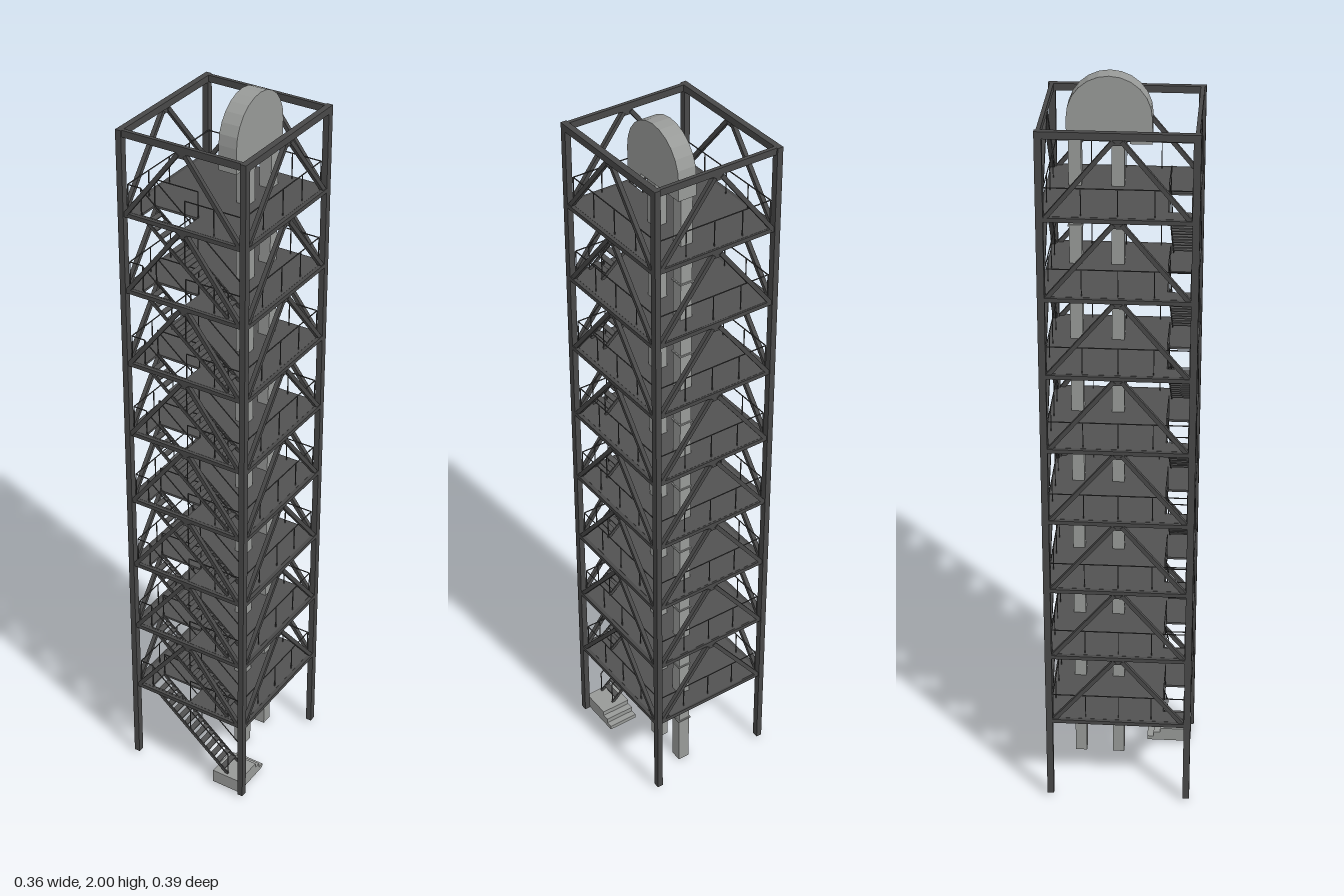
import * as THREE from 'three';

export function createModel() {
  const tower = new THREE.Group();
  tower.name = 'elevatorTower';
  const paint = (name, color) => {
    const m = new THREE.MeshStandardMaterial({ color });
    m.name = name;
    return m;
  };
  const steel = paint('dark steel', 0x484848);
  const deckGrey = paint('deck grey', 0x525252);
  const casing = paint('casing grey', 0x989a98);

  const add = (parent, name, geometry, material) => {
    const mesh = new THREE.Mesh(geometry, material);
    mesh.name = name;
    parent.add(mesh);
    return mesh;
  };
  // Box given by its two opposite corners
  const box = (parent, name, x0, x1, y0, y1, z0, z1, material) => {
    const mesh = add(parent, name, new THREE.BoxGeometry(x1 - x0, y1 - y0, z1 - z0), material);
    mesh.position.set((x0 + x1) / 2, (y0 + y1) / 2, (z0 + z1) / 2);
    return mesh;
  };
  // Square bar between two points
  const bar = (parent, name, a, b, size, material, depth = size) => {
    const p = new THREE.Vector3(...a), q = new THREE.Vector3(...b);
    const mesh = add(parent, name, new THREE.BoxGeometry(size, depth, p.distanceTo(q)), material);
    mesh.position.copy(p).add(q).multiplyScalar(0.5);
    mesh.lookAt(q);
    return mesh;
  };

  const X = 0.172, ZF = 0.176, ZB = -0.197, ZM = (ZF + ZB) / 2;
  const TOP = 1.92, RISE = 0.2085;
  const levels = Array.from({ length: 8 }, (_, i) => 0.252 + i * RISE);

  // Corner columns
  for (const x of [-X, X]) for (const z of [ZF, ZB])
    box(tower, 'column', x - 0.008, x + 0.008, 0.008, TOP + 0.012, z - 0.009, z + 0.009, steel);

  // Rectangular ring of beams
  const ring = (parent, y, h) => {
    for (const x of [-X, X]) box(parent, 'sideBeam', x - 0.008, x + 0.008, y - h / 2, y + h / 2, ZB, ZF, steel);
    for (const z of [ZF, ZB]) box(parent, 'crossBeam', -X, X, y - h / 2, y + h / 2, z - 0.005, z + 0.005, steel);
  };
  ring(tower, TOP + 0.003, 0.018);

  // A-shaped bracing of one bay, on all four sides
  const braces = (parent, y0, y1) => {
    for (const s of [-1, 1]) {
      for (const z of [ZF, ZB])
        bar(parent, 'brace', [s * 0.163, y0, z], [s * 0.01, y1 - 0.01, z], 0.011, steel);
      for (const x of [-X, X])
        bar(parent, 'sideBrace', [x, y0, ZM + s * 0.176], [x, y1 - 0.01, ZM + s * 0.01], 0.011, steel);
    }
    for (const z of [ZF, ZB]) box(parent, 'gusset', -0.016, 0.016, y1 - 0.02, y1, z - 0.003, z + 0.003, steel);
    for (const x of [-X, X]) box(parent, 'sideGusset', x - 0.003, x + 0.003, y1 - 0.02, y1, ZM - 0.016, ZM + 0.016, steel);
  };

  // Deck plate with the stair opening
  const plate = new THREE.Shape([[-0.17, -0.172], [0.17, -0.172], [0.17, 0.197], [-0.17, 0.197]]
    .map(p => new THREE.Vector2(...p)));
  plate.holes.push(new THREE.Path([[-0.124, -0.168], [-0.124, -0.11], [0, -0.11], [0, -0.168]]
    .map(p => new THREE.Vector2(...p))));
  const deckGeometry = new THREE.ExtrudeGeometry(plate, { depth: 0.006, bevelEnabled: false });
  deckGeometry.rotateX(-Math.PI / 2);

  // Guard rail along a floor path, with posts
  const RAIL = 0.075, THIN = 0.0022;
  const guard = (parent, y, path) => {
    for (let i = 0; i + 1 < path.length; i++) {
      const [ax, az] = path[i], [bx, bz] = path[i + 1];
      bar(parent, 'guardRail', [ax, y + RAIL, az], [bx, y + RAIL, bz], THIN, steel);
      const n = Math.max(1, Math.round(Math.hypot(bx - ax, bz - az) / 0.09));
      for (let k = 0; k <= n; k++) {
        const x = ax + (bx - ax) * k / n, z = az + (bz - az) * k / n;
        bar(parent, 'guardPost', [x, y, z], [x, y + RAIL, z], THIN, steel);
      }
    }
  };

  // Straight stair rising towards -x
  const stair = (parent, y0, y1) => {
    const x0 = 0.122, x1 = -0.122, steps = 14;
    for (const z of [0.111, 0.168]) {
      bar(parent, 'stringer', [x0, y0, z], [x1, y1, z], 0.003, steel, 0.009);
      bar(parent, 'handrail', [x0, y0 + 0.07, z], [x1, y1 + 0.07, z], THIN, steel);
      for (const t of [0, 0.5, 1]) {
        const x = x0 + (x1 - x0) * t, y = y0 + (y1 - y0) * t;
        bar(parent, 'handrailPost', [x, y, z], [x, y + 0.07, z], THIN, steel);
      }
    }
    for (let i = 1; i < steps; i++) {
      const x = x0 + (x1 - x0) * i / steps, y = y0 + (y1 - y0) * i / steps;
      box(parent, 'tread', x - 0.008, x + 0.008, y - 0.0015, y + 0.0015, 0.111, 0.168, deckGrey);
    }
  };

  // Floors with beams, bracing, railing and the stair leading up to each
  levels.forEach((y, i) => {
    const floor = new THREE.Group();
    floor.name = 'floor';
    tower.add(floor);
    add(floor, 'deck', deckGeometry, deckGrey).position.y = y;
    ring(floor, y, 0.011);
    braces(floor, y, i < 7 ? levels[i + 1] : TOP);
    guard(floor, y, [[0, 0.166], [0.162, 0.166], [0.162, -0.188], [-0.162, -0.188], [-0.162, 0.166], [-0.124, 0.166]]);
    guard(floor, y, [[-0.124, 0.109], [0, 0.109]]);
    stair(floor, i ? levels[i - 1] + 0.006 : 0.05, y + 0.004);
  });

  // Stepped footing under the first stair
  [[0.092, 0.05], [0.073, 0.036], [0.055, 0.022]].forEach(([z, h]) =>
    box(tower, 'footing', 0.08, 0.165, 0.01, h, z, 0.178, casing));

  // Twin elevator legs with flanges at the casing joints
  for (const z of [-0.024, -0.13]) {
    box(tower, 'elevatorLeg', 0.033, 0.066, 0, 1.86, z - 0.016, z + 0.016, casing);
    for (let y = 0.15; y < 1.8; y += RISE)
      box(tower, 'legFlange', 0.030, 0.069, y, y + 0.004, z - 0.019, z + 0.019, casing);
  }
  box(tower, 'inspectionBox', 0.028, 0.07, 1.645, 1.68, -0.044, 0.004, casing);

  // Round-topped head with a discharge spout at the front
  const head = new THREE.Shape();
  head.moveTo(-0.15, 1.845);
  head.lineTo(0.006, 1.845);
  head.lineTo(0.006, 1.83);
  head.lineTo(0.06, 1.83);
  for (let i = 0; i <= 12; i++) {
    const a = Math.PI * i / 12;
    head.lineTo(-0.045 + 0.105 * Math.cos(a), 1.895 + 0.105 * Math.sin(a));
  }
  const headGeometry = new THREE.ExtrudeGeometry(head, { depth: 0.05, bevelEnabled: false });
  headGeometry.rotateY(-Math.PI / 2);
  add(tower, 'elevatorHead', headGeometry, casing).position.x = 0.076;

  return tower;
}
